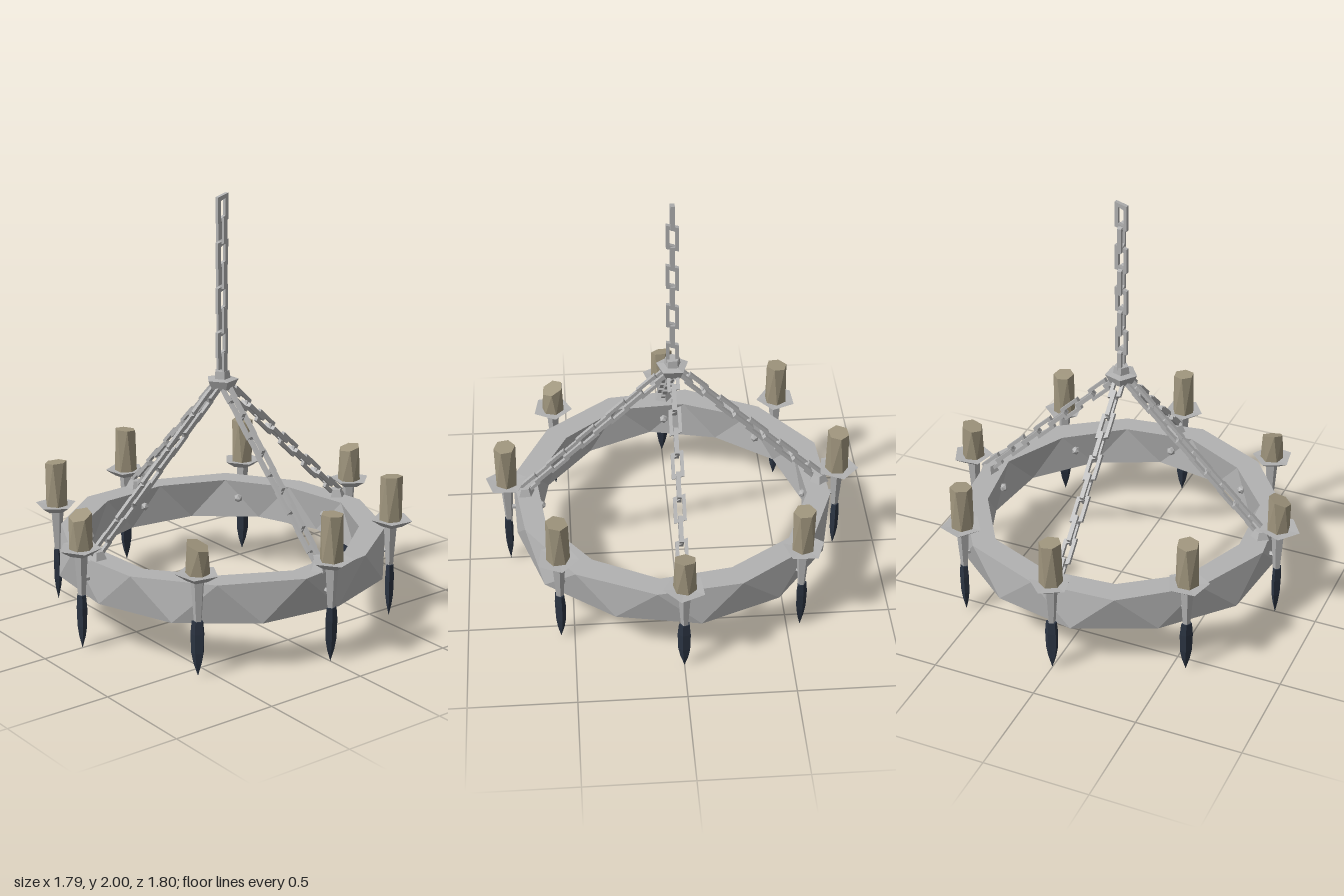
import * as THREE from 'three';

const mat = (name, color, extra = {}) =>
  Object.assign(new THREE.MeshStandardMaterial({ color, flatShading: true, ...extra }), { name });
const iron = mat('iron', 0xb2b2b2);
const wax = mat('wax', 0xa0967e);
const darkSteel = mat('dark steel', 0x2b3442);

function add(parent, name, geometry, material, x = 0, y = 0, z = 0) {
  const mesh = new THREE.Mesh(geometry, material);
  mesh.name = name;
  mesh.position.set(x, y, z);
  parent.add(mesh);
  return mesh;
}

const lathe = (points, sides) =>
  new THREE.LatheGeometry(points.map(([r, y]) => new THREE.Vector2(r, y)), sides);

// Faceted hoop: four loops, the lower ones turned half a step
function hoopGeometry() {
  const N = 12, positions = [], index = [];
  const loops = [[0.77, 0.23, 0.5], [0.77, 0.415, 0], [0.655, 0.415, 0], [0.655, 0.23, 0.5]];
  loops.forEach(([r, y, shift], k) => {
    for (let i = 0; i < N; i++) {
      const a = ((i + shift + 0.3) / N) * Math.PI * 2;
      const rr = r + 0.01 * Math.sin(i * 2.7 + k);
      positions.push(rr * Math.cos(a), y, rr * Math.sin(a));
    }
  });
  for (let k = 0; k < 4; k++) {
    for (let i = 0; i < N; i++) {
      const j = (i + 1) % N, n = ((k + 1) % 4) * N;
      const a = k * N + i, b = k * N + j, c = n + j, d = n + i;
      if (k === 0) index.push(a, d, c, a, c, b);
      else index.push(a, d, b, b, d, c);
    }
  }
  const g = new THREE.BufferGeometry();
  g.setAttribute('position', new THREE.Float32BufferAttribute(positions, 3));
  g.setIndex(index);
  g.computeVertexNormals();
  return g;
}

// Slightly skewed rectangular chain link with an open middle
function linkGeometry() {
  const quad = (w, h, skew) => [[-w, -h - skew], [w, -h + skew], [w, h + skew], [-w, h - skew]]
    .map(([x, y]) => new THREE.Vector2(x, y));
  const shape = new THREE.Shape(quad(0.029, 0.06, 0.008));
  shape.holes.push(new THREE.Path(quad(0.013, 0.04, 0.006).reverse()));
  return new THREE.ExtrudeGeometry(shape, { depth: 0.02, bevelEnabled: false }).translate(0, 0, -0.01);
}

// Row of links, each a quarter turn from the one before
function chain(parent, name, from, to, count, geometry) {
  const group = new THREE.Group();
  group.name = name;
  const dir = to.clone().sub(from).normalize();
  group.quaternion.setFromUnitVectors(new THREE.Vector3(0, 1, 0), dir);
  group.position.copy(from);
  const length = from.distanceTo(to);
  for (let i = 0; i < count; i++) {
    const link = add(group, 'chainLink', geometry, iron, 0, (length * i) / (count - 1), 0);
    link.rotation.y = (i % 2) * Math.PI / 2;
  }
  parent.add(group);
}

// Six-sided candle, twisted and cut at a slant
function candleGeometry(height, slant, turn) {
  const g = new THREE.CylinderGeometry(0.052, 0.055, height, 6);
  const p = g.attributes.position;
  for (let i = 0; i < p.count; i++) {
    const x = p.getX(i), z = p.getZ(i);
    if (p.getY(i) < 0) continue;
    const c = Math.cos(0.35), s = Math.sin(0.35);
    p.setXYZ(i, x * c - z * s, height / 2 + slant * (z / 0.052 - 1), x * s + z * c);
  }
  g.computeVertexNormals();
  return g.rotateY(turn).translate(0, height / 2, 0);
}

export function createModel() {
  const model = new THREE.Group();
  model.name = 'chandelier';
  const link = linkGeometry();

  add(model, 'hoop', hoopGeometry(), iron);

  // Hub and hanging chain
  add(model, 'hub', lathe([[0, 1.09], [0.055, 1.09], [0.078, 1.135], [0.04, 1.14], [0.035, 1.175], [0, 1.175]], 5), iron);
  chain(model, 'hangingChain', new THREE.Vector3(0, 1.2, 0), new THREE.Vector3(0, 1.933, 0), 8, link);

  // Four sloping chains with their anchors on the hoop
  for (let k = 0; k < 4; k++) {
    const arm = new THREE.Group();
    arm.name = 'chainArm';
    arm.rotation.y = k * Math.PI / 2;
    chain(arm, 'slopingChain', new THREE.Vector3(0.69, 0.46, 0), new THREE.Vector3(0.04, 1.09, 0), 10, link);
    add(arm, 'chainAnchor', new THREE.CylinderGeometry(0.03, 0.05, 0.04, 5), iron, 0.71, 0.43, 0);
    model.add(arm);
  }

  // Eight candle holders around the hoop
  const cup = lathe([[0, 0.452], [0.05, 0.452], [0.1, 0.485], [0.05, 0.482], [0, 0.482]], 5);
  const stem = new THREE.CylinderGeometry(0.032, 0.017, 0.22, 5);
  const tip = lathe([[0, 0.26], [0.02, 0.26]].reverse().length ? [[0, 0], [0.02, 0.06], [0.03, 0.11], [0.033, 0.2], [0.027, 0.26], [0, 0.26]] : [], 5);
  const bolt = new THREE.CylinderGeometry(0.012, 0.012, 0.16, 5).rotateZ(Math.PI / 2);
  const stud = new THREE.IcosahedronGeometry(0.022, 0);
  const candleTops = [0.7, 0.7, 0.66, 0.7, 0.7, 0.7, 0.66, 0.63];
  const slants = [0.003, 0.006, 0.012, 0.003, 0.005, 0.005, 0.02, 0.02];
  for (let k = 0; k < 8; k++) {
    const holder = new THREE.Group();
    holder.name = 'candleHolder';
    holder.rotation.y = k * Math.PI / 4;
    add(holder, 'dripCup', cup, iron, 0.8).rotation.y = k * 1.3;
    add(holder, 'stem', stem, iron, 0.795, 0.35);
    add(holder, 'spikeTip', tip, darkSteel, 0.798).scale.x = 0.65;
    add(holder, 'bolt', bolt, iron, 0.71, 0.33);
    add(holder, 'boltHead', stud, iron, 0.635, 0.33);
    add(holder, 'candle', candleGeometry(candleTops[k] - 0.478, slants[k], k * 0.9), wax, 0.795, 0.478);
    model.add(holder);
  }
  return model;
}
